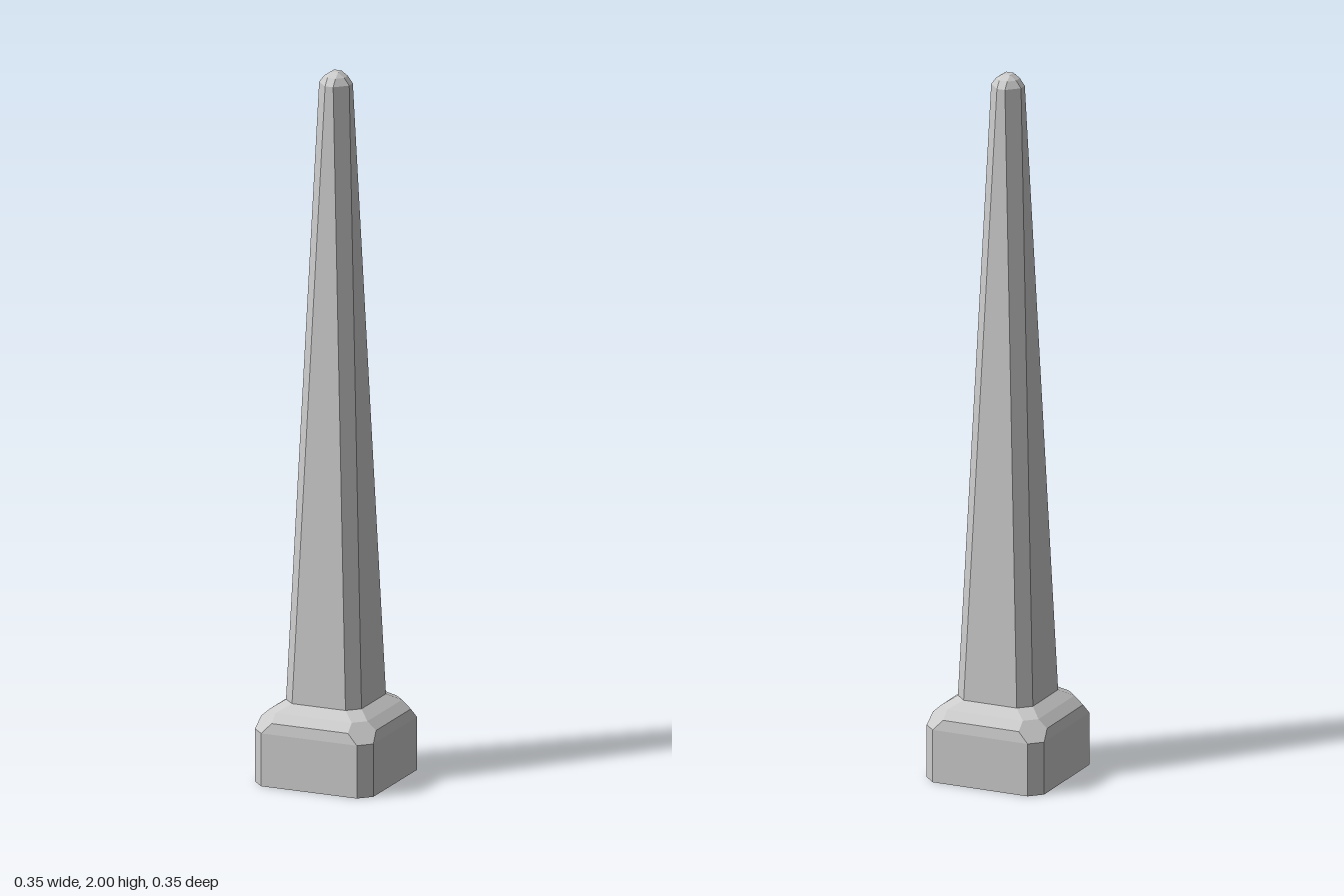
import * as THREE from 'three';

// Chamfered square at height y: half width h, straight sides end at +-c.
function ring([h, c, y]) {
  return [[-c, h], [c, h], [h, c], [h, -c], [c, -h], [-c, -h], [-h, -c], [-h, c]]
    .map(([x, z]) => new THREE.Vector3(x, y, z));
}

// Skins a stack of chamfered squares, with optional flat end caps.
function loft(name, sections, material, { capBottom = false, capTop = false } = {}) {
  const rings = sections.map(ring);
  const points = [];
  const cap = (loop, up) => {
    for (let i = 1; i < loop.length - 1; i++) {
      points.push(loop[0], up ? loop[i] : loop[i + 1], up ? loop[i + 1] : loop[i]);
    }
  };
  for (let r = 0; r < rings.length - 1; r++) {
    const low = rings[r], high = rings[r + 1];
    for (let i = 0; i < 8; i++) {
      const j = (i + 1) % 8;
      points.push(low[i], low[j], high[j], low[i], high[j], high[i]);
    }
  }
  if (capBottom) cap(rings[0], false);
  if (capTop) cap(rings[rings.length - 1], true);
  const geometry = new THREE.BufferGeometry().setFromPoints(points);
  geometry.computeVertexNormals();
  const mesh = new THREE.Mesh(geometry, material);
  mesh.name = name;
  return mesh;
}

export function createModel() {
  const model = new THREE.Group();
  model.name = 'obelisk';
  const stone = new THREE.MeshStandardMaterial({ color: 0xcccccc, flatShading: true });

  // Sections shared by neighbouring parts: [half width, straight side end, height]
  const shaftFoot = [0.113, 0.08, 0.225];
  const shaftHead = [0.045, 0.012, 1.967];

  // Block with bevelled shoulders
  model.add(loft('base', [
    [0.177, 0.143, 0],
    [0.177, 0.143, 0.15],
    [0.172, 0.114, 0.18],
    [0.146, 0.114, 0.203],
    shaftFoot,
  ], stone, { capBottom: true }));

  // Long tapering shaft
  model.add(loft('shaft', [shaftFoot, shaftHead], stone));

  // Blunt tip closing to a small square
  model.add(loft('tip', [
    shaftHead,
    [0.03, 0.012, 1.987],
    [0.011, 0.011, 2],
  ], stone, { capTop: true }));

  return model;
}
